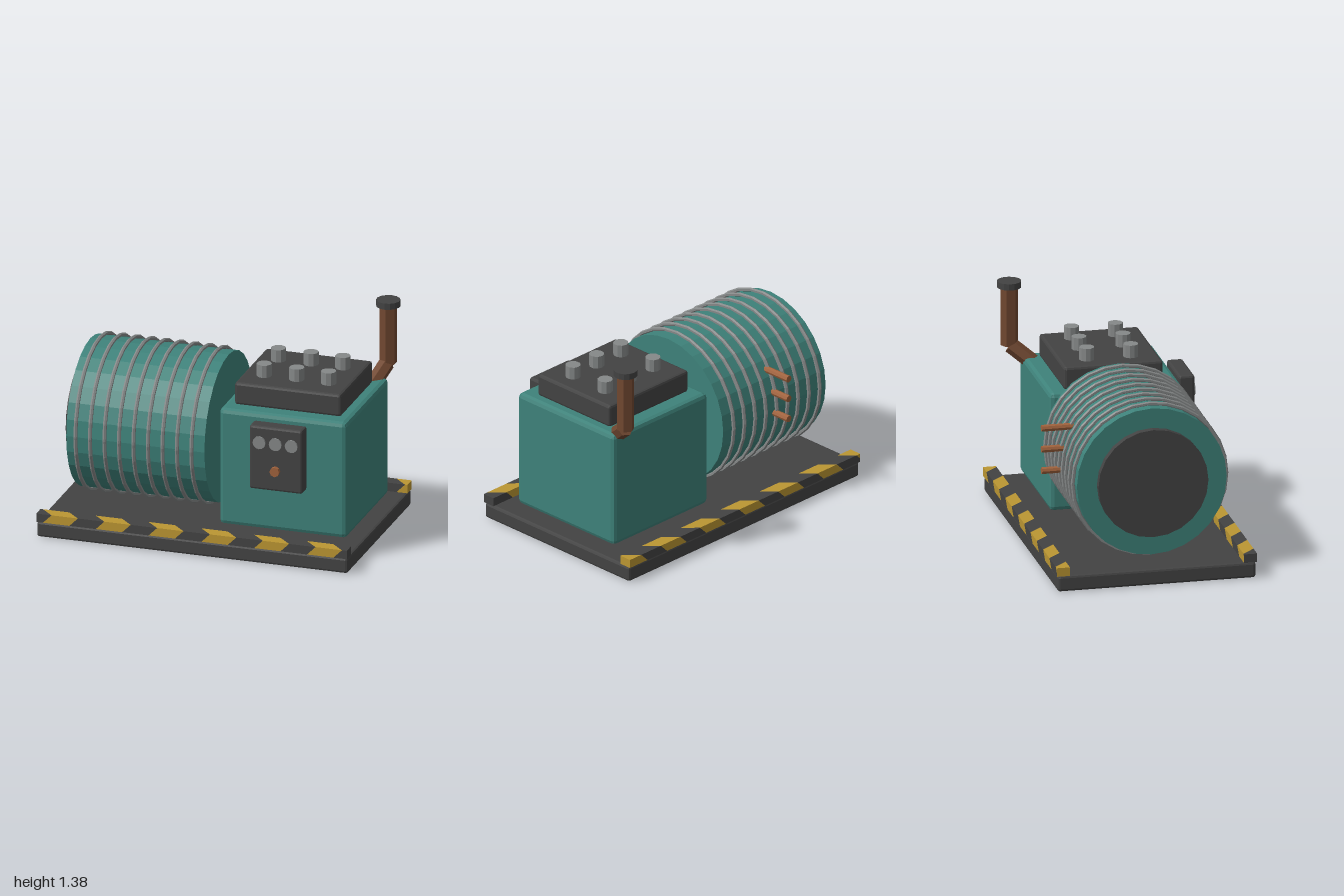
import * as THREE from 'three';
import { RoundedBoxGeometry } from 'three/addons/geometries/RoundedBoxGeometry.js';

const paint = (name, color) => {
  const m = new THREE.MeshStandardMaterial({ color, flatShading: true });
  m.name = name;
  return m;
};

export function createModel() {
  const model = new THREE.Group();
  model.name = 'generator';
  const teal = paint('teal paint', 0x3e827a);
  const dark = paint('dark metal', 0x434343);
  const steel = paint('steel', 0x858888);
  const yellow = paint('hazard yellow', 0xbb9632);
  const copper = paint('copper', 0xa0623c);
  const rust = paint('rusty pipe', 0x704730);

  const add = (name, geometry, material, x = 0, y = 0, z = 0) => {
    const mesh = new THREE.Mesh(geometry, material);
    mesh.name = name;
    mesh.position.set(x, y, z);
    model.add(mesh);
    return mesh;
  };
  // Chamfered box given by its extents
  const bevelBox = (name, mat, [x0, x1], [y0, y1], [z0, z1], bevel) =>
    add(name, new RoundedBoxGeometry(x1 - x0, y1 - y0, z1 - z0, 1, bevel), mat,
      (x0 + x1) / 2, (y0 + y1) / 2, (z0 + z1) / 2);
  // Cylinder running between two points
  const rod = (name, mat, from, to, radius, sides) => {
    const a = new THREE.Vector3(...from), b = new THREE.Vector3(...to);
    const mid = a.clone().add(b).multiplyScalar(0.5);
    const mesh = add(name, new THREE.CylinderGeometry(radius, radius, a.distanceTo(b), sides), mat, mid.x, mid.y, mid.z);
    mesh.quaternion.setFromUnitVectors(new THREE.Vector3(0, 1, 0), b.sub(a).normalize());
    return mesh;
  };

  // Skid base
  bevelBox('base', dark, [-1, 1], [0, 0.1], [-0.62, 0.62], 0.015);

  // Hazard rails: slabs sheared along x, so the stripes run diagonally on every face
  const half = 0.17, edge = 0.185;
  for (const side of [1, -1]) {
    const z = side * 0.587, y = 0.1275;
    for (let i = -14; i < 10; i++) {
      const u0 = edge + i * half, u1 = u0 + half;
      if (u1 + y + z < -1.1 || u0 + y + z > 1.1) continue;
      const g = new THREE.BoxGeometry(1, 0.055, 0.082, 1, 6, 6).toNonIndexed();
      const p = g.attributes.position;
      for (let k = 0; k < p.count; k++) {
        const u = p.getX(k) < 0 ? u0 : u1;
        p.setX(k, THREE.MathUtils.clamp(u + p.getY(k) + y + p.getZ(k) + z, -1, 1));
      }
      g.computeVertexNormals();
      add(side > 0 ? 'frontRail' : 'backRail', g, i % 2 ? yellow : dark, 0, y, z);
    }
  }

  // Generator drum with cooling rings and end plate
  rod('drum', teal, [-0.86, 0.622, 0], [0.03, 0.622, 0], 0.47, 28);
  rod('drumEndPlate', dark, [-0.905, 0.622, 0], [-0.85, 0.622, 0], 0.345, 24);
  for (let i = 0; i < 9; i++) {
    const ring = add('coolingRing', new THREE.TorusGeometry(0.482, 0.0125, 6, 28), steel, -0.797 + i * 0.0933, 0.622, 0);
    ring.rotation.y = Math.PI / 2;
  }

  // Terminals on the back of the drum
  for (const y of [0.865, 0.73, 0.592])
    rod('terminal', copper, [-0.42, y, -0.39], [-0.42, y, -0.59], 0.022, 8);

  // Engine block, head cover and studs
  bevelBox('engineBlock', teal, [0.105, 0.925], [0.143, 0.9], [-0.415, 0.415], 0.028);
  bevelBox('headCover', dark, [0.17, 0.855], [0.895, 1.04], [-0.31, 0.31], 0.016);
  for (const x of [0.305, 0.515, 0.72])
    for (const z of [-0.138, 0.138])
      rod('stud', steel, [x, 1.03, z], [x, 1.12, z], 0.047, 10);

  // Control panel with gauges and knob
  bevelBox('controlPanel', dark, [0.345, 0.685], [0.455, 0.87], [0.45, 0.55], 0.014);
  for (const x of [0.411, 0.515, 0.618])
    rod('gauge', steel, [x, 0.765, 0.54], [x, 0.765, 0.561], 0.041, 12);
  rod('knob', copper, [0.515, 0.59, 0.54], [0.515, 0.59, 0.576], 0.031, 8);

  // Exhaust: elbow, stack and cap
  rod('exhaustElbow', rust, [0.83, 0.845, -0.33], [0.89, 0.967, -0.48], 0.05, 6);
  rod('exhaustStack', rust, [0.896, 0.968, -0.487], [0.896, 1.35, -0.487], 0.055, 6);
  rod('exhaustCap', dark, [0.896, 1.34, -0.487], [0.896, 1.38, -0.487], 0.075, 14);

  return model;
}
